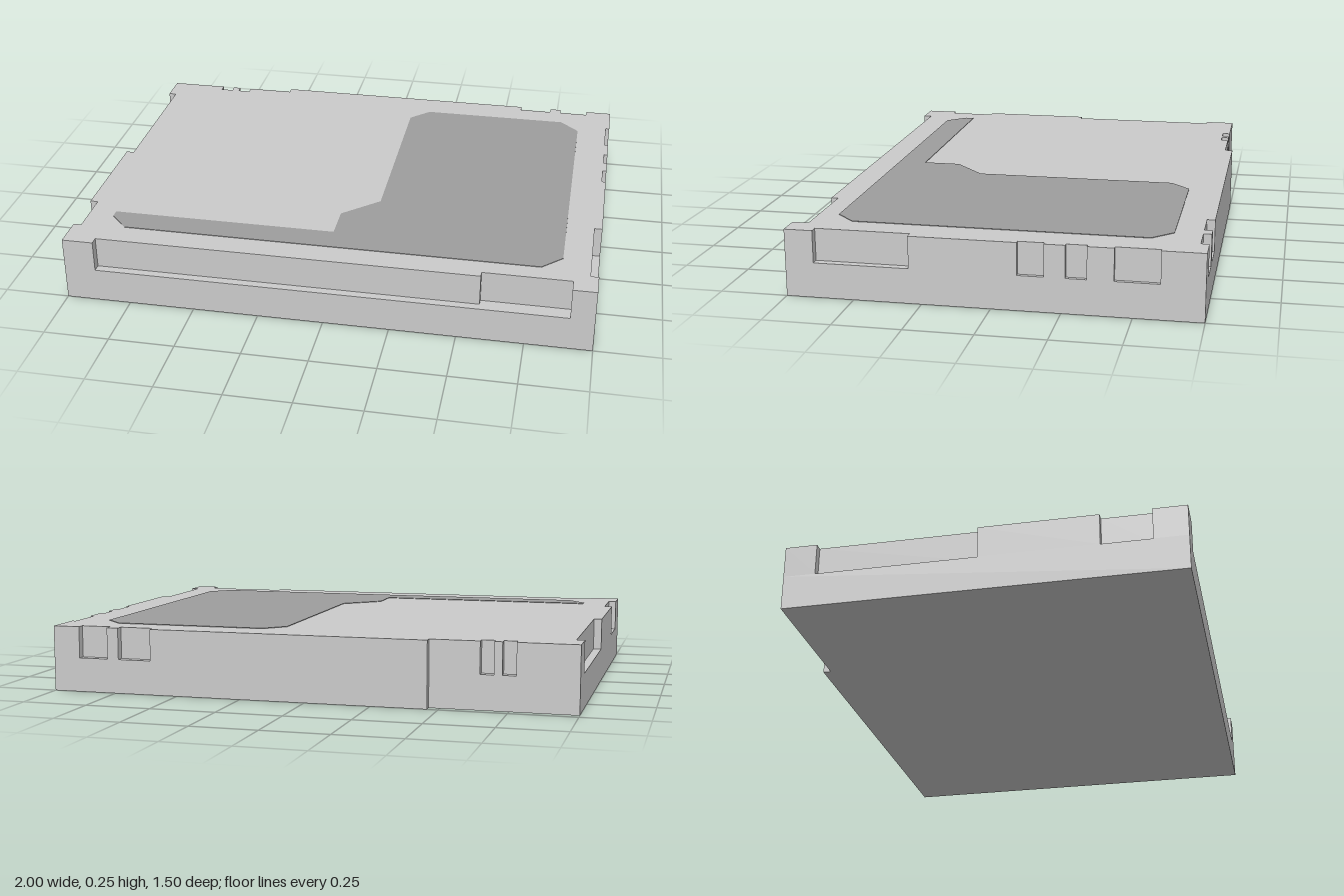
import * as THREE from 'three';

const HEIGHT = 0.25, LEDGE = 0.13;

// Extrudes an outline given as [x, z] points from y = bottom to y = top
function slab(name, points, bottom, top, color = 0xcccccc) {
  const shape = new THREE.Shape(points.map(([x, z]) => new THREE.Vector2(x, z)));
  const geometry = new THREE.ExtrudeGeometry(shape, { depth: top - bottom, bevelEnabled: false });
  geometry.rotateX(Math.PI / 2).translate(0, top, 0);
  const mesh = new THREE.Mesh(geometry, new THREE.MeshStandardMaterial({ color }));
  mesh.name = name;
  return mesh;
}

// Notches along an edge at constant z or x: [from, to, inner position]
const alongX = (edge, notches) => notches.flatMap(([a, b, d]) => [[a, edge], [a, d], [b, d], [b, edge]]);
const alongZ = (edge, notches) => notches.flatMap(([a, b, d]) => [[edge, a], [d, a], [d, b], [edge, b]]);

export function createModel() {
  const group = new THREE.Group();
  group.name = 'cartridge';

  // Lower half: plain outline with the stepped back edge
  group.add(slab('lowerShell', [
    [-1, -0.72], [-0.46, -0.72], [-0.46, -0.75], [1, -0.75], [1, 0.75], [-1, 0.75],
  ], 0, LEDGE));

  // Upper half: same outline with grip and connector notches
  group.add(slab('upperShell', [
    [-1, -0.72],
    ...alongX(-0.72, [[-0.775, -0.725, -0.69], [-0.695, -0.645, -0.69]]),
    [-0.46, -0.72], [-0.46, -0.75],
    ...alongX(-0.75, [[0.605, 0.735, -0.72], [0.78, 0.895, -0.72]]),
    [1, -0.75],
    ...alongZ(1, [[-0.595, -0.435, 0.985], [-0.34, -0.265, 0.985], [-0.19, -0.095, 0.985], [0.295, 0.645, 0.97]]),
    [1, 0.75],
    // Long front slot with a deeper pocket at one end
    [0.91, 0.75], [0.91, 0.69], [0.58, 0.69], [0.58, 0.717], [-0.88, 0.717], [-0.88, 0.75],
    [-1, 0.75],
    ...alongZ(-1, [[0.625, 0.44, -0.97], [0, -0.6, -0.97]]),
  ], LEDGE, HEIGHT));

  // Thin dark panel on the top face
  group.add(slab('topPanel', [
    [0.13, -0.545], [0.205, -0.62], [0.79, -0.62], [0.865, -0.545],
    [0.865, 0.54], [0.79, 0.615], [-0.8, 0.615], [-0.87, 0.54],
    [-0.87, 0.505], [-0.005, 0.505], [-0.005, 0.36], [0.13, 0.235],
  ], HEIGHT - 0.01, HEIGHT + 0.002, 0x9e9e9e));

  return group;
}
